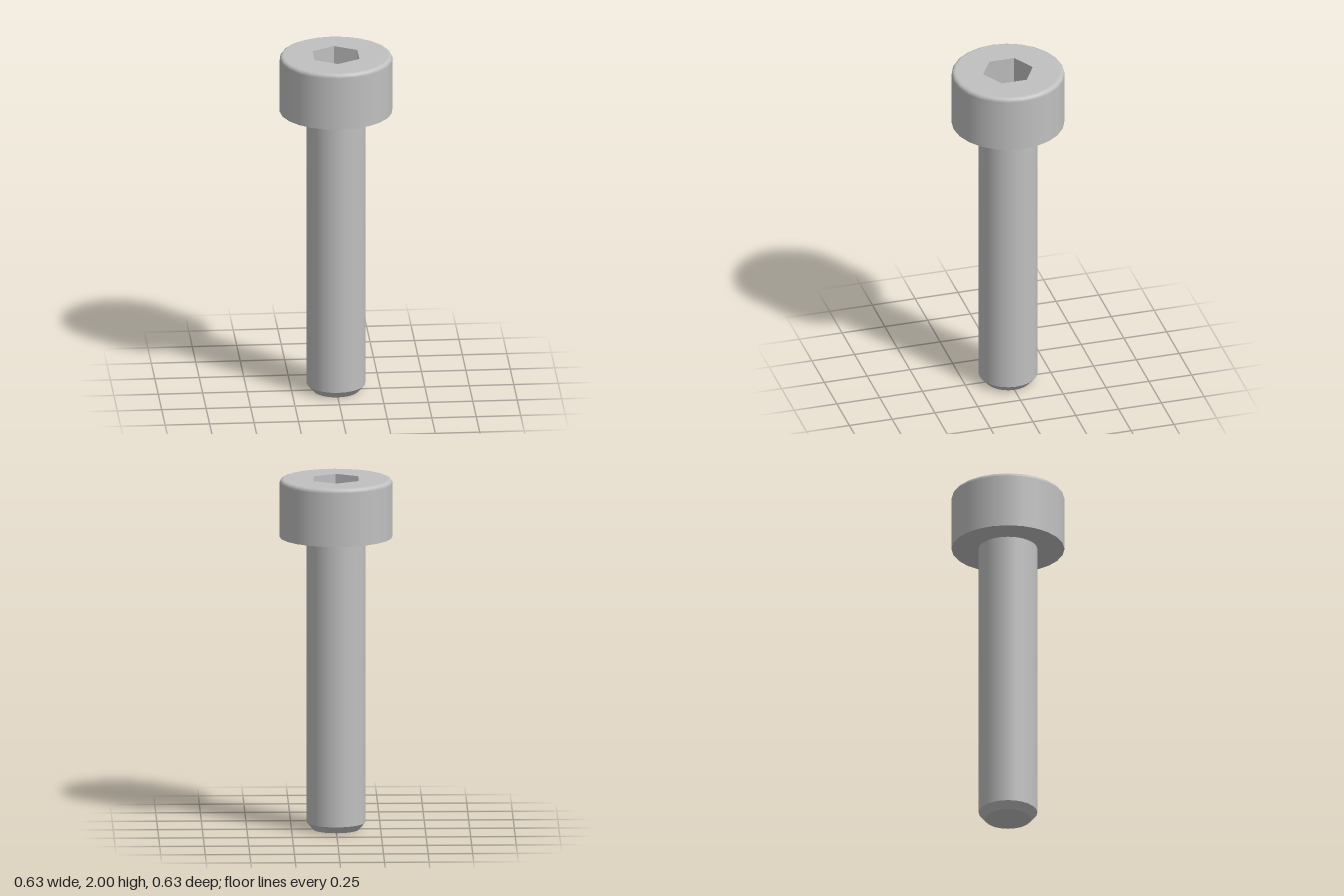
import * as THREE from 'three';

const SIDES = 24, HEAD_R = 0.317, SHANK_R = 0.165, FILLET = 0.022;
const HEAD_Y = 1.67, TOP_Y = 2, HEX_R = 0.145, HEX_FLOOR = 1.82;

export function createModel() {
  const group = new THREE.Group();
  const steel = new THREE.MeshStandardMaterial({ color: 0xc0c0c0 });
  steel.name = 'steel grey';

  const add = (name, geometry) => {
    const mesh = new THREE.Mesh(geometry, steel);
    mesh.name = name;
    group.add(mesh);
  };
  // Each turned surface is its own lathe, so the edges between them stay sharp
  const turn = (points, sides = SIDES) =>
    new THREE.LatheGeometry(points.map(([r, y]) => new THREE.Vector2(r, y)), sides);
  const ring = (radius, sides) => Array.from({ length: sides }, (_, i) => {
    const a = (i / sides) * Math.PI * 2;
    return new THREE.Vector2(Math.sin(a) * radius, Math.cos(a) * radius);
  });

  // Shank with a chamfered tip
  add('shankTip', turn([[0, 0], [0.13, 0]]));
  add('shankChamfer', turn([[0.13, 0], [SHANK_R, 0.04]]));
  add('shank', turn([[SHANK_R, 0.04], [SHANK_R, HEAD_Y]]));

  // Cylindrical head with a rounded upper rim
  add('headUnderside', turn([[SHANK_R, HEAD_Y], [HEAD_R, HEAD_Y]]));
  add('headWall', turn([[HEAD_R, HEAD_Y], [HEAD_R, TOP_Y - FILLET]]));
  const rim = [];
  for (let i = 0; i <= 6; i++) {
    const a = (i / 6) * Math.PI / 2;
    rim.push([HEAD_R - FILLET + FILLET * Math.cos(a), TOP_Y - FILLET + FILLET * Math.sin(a)]);
  }
  add('headRim', turn(rim));

  // Flat top face with a hexagonal opening
  const face = new THREE.Shape(ring(HEAD_R - FILLET, SIDES));
  face.holes.push(new THREE.Path(ring(HEX_R, 6)));
  add('headTop', new THREE.ShapeGeometry(face).rotateX(-Math.PI / 2).translate(0, TOP_Y, 0));

  // Hex socket: flat walls and a shallow drilled floor
  const walls = turn([[HEX_R, TOP_Y], [HEX_R, HEX_FLOOR]], 6).toNonIndexed();
  walls.computeVertexNormals();
  add('socketWalls', walls);
  add('socketFloor', turn([[HEX_R, HEX_FLOOR], [0, HEX_FLOOR - 0.08]], 6));

  return group;
}
